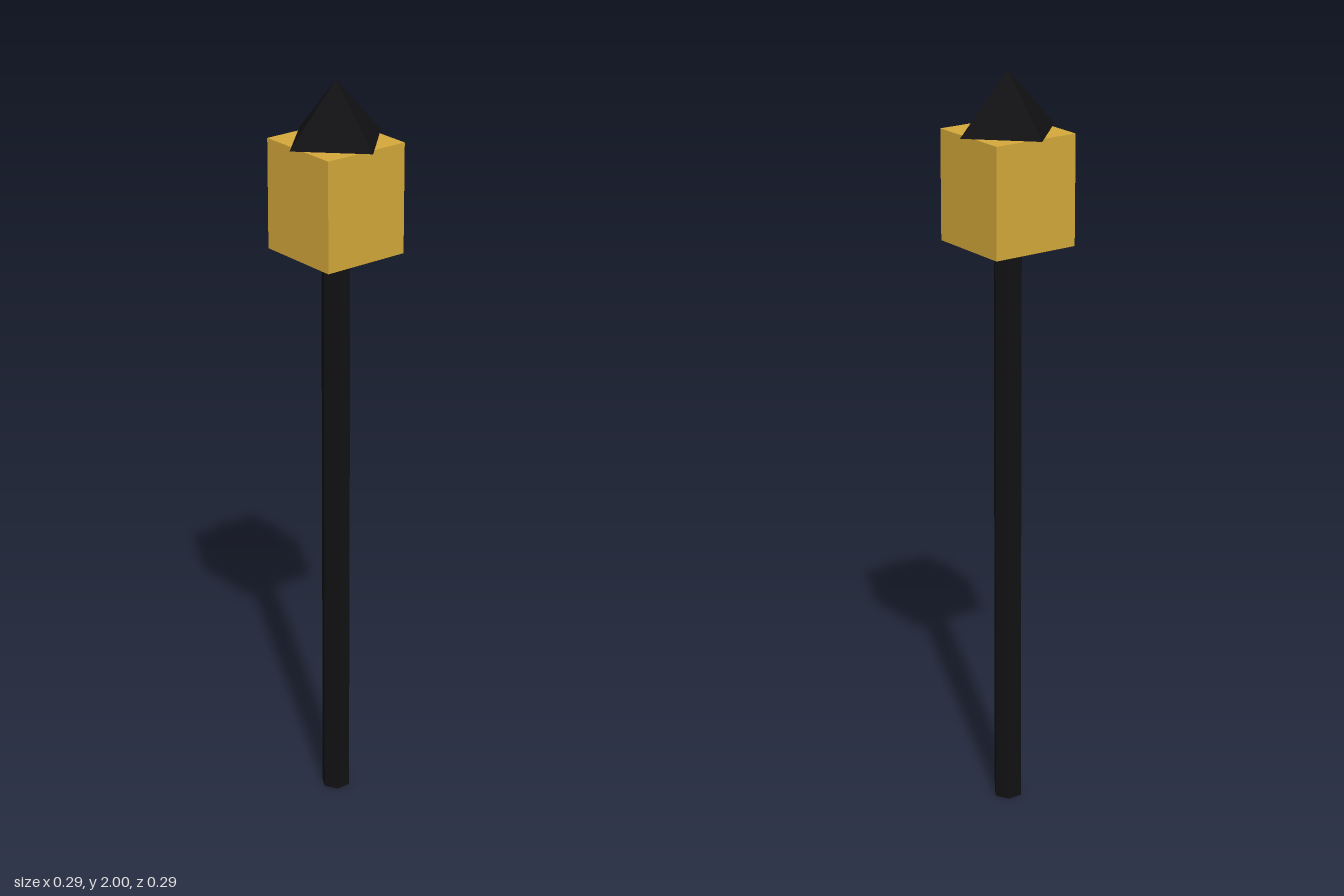
import * as THREE from 'three';

export function createModel() {
  const group = new THREE.Group();
  const black = new THREE.MeshStandardMaterial({ color: 0x111114, flatShading: true });
  const amber = new THREE.MeshStandardMaterial({ color: 0xd4a83a, flatShading: true });

  const add = (name, geometry, material, y) => {
    const mesh = new THREE.Mesh(geometry, material);
    mesh.name = name;
    mesh.position.y = y;
    group.add(mesh);
  };

  const poleTop = 1.555, lanternTop = 1.845, top = 2;

  // Six-sided post
  add('pole', new THREE.CylinderGeometry(0.039, 0.039, poleTop, 6), black, poleTop / 2);

  // Glowing lantern box
  add('lantern', new THREE.BoxGeometry(0.242, lanternTop - poleTop, 0.242), amber, (poleTop + lanternTop) / 2);

  // Four-sided roof, its corners over the middles of the lantern's sides
  add('roof', new THREE.ConeGeometry(0.145, top - lanternTop, 4), black, (lanternTop + top) / 2);

  return group;
}
